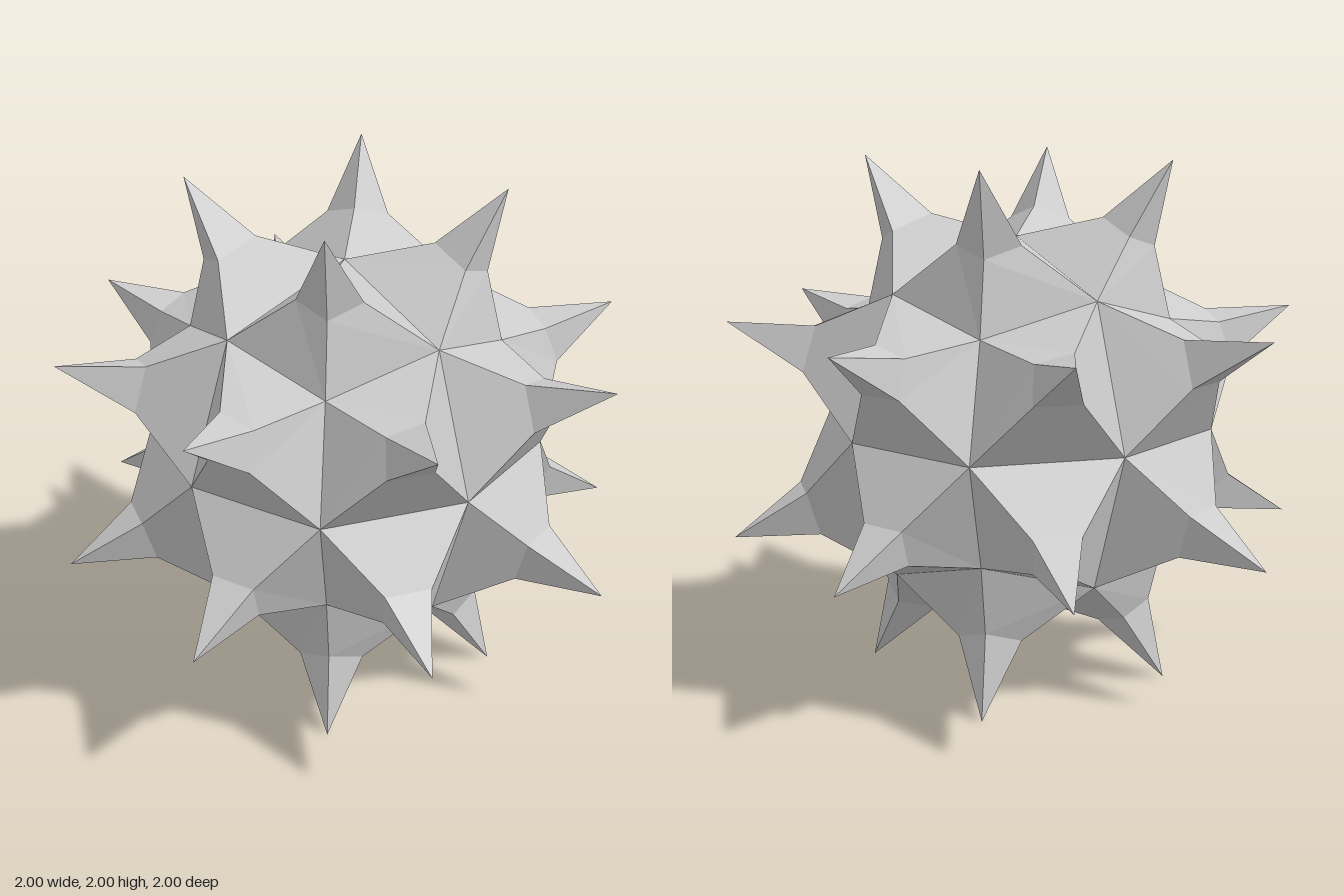
import * as THREE from 'three';

// One kite-shaped cell around the tip nearest +z: outer corners, shoulder ring, tip
const RIM = [[0, 0, 0.707], [0.53, 0, 0.53], [0.414, 0.414, 0.414], [0, 0.53, 0.53]];
const SHOULDER = [[0.232, 0.232, 0.785], [0.4, 0.232, 0.728], [0.37, 0.37, 0.685], [0.232, 0.4, 0.728]];
const TIP = [0.414, 0.414, 1];

// Repeats a set of triangles over the 24 cells: three axes, eight sign combinations
function repeatCells(triangles) {
  const positions = [];
  for (let axis = 0; axis < 3; axis++) {
    for (const sx of [1, -1]) for (const sy of [1, -1]) for (const sz of [1, -1]) {
      for (const tri of triangles) {
        // mirrored cells need their corner order reversed
        const corners = sx * sy * sz > 0 ? tri : [...tri].reverse();
        for (const [x, y, z] of corners) {
          const p = [x * sx, y * sy, z * sz];
          positions.push(p[axis], p[(axis + 1) % 3], p[(axis + 2) % 3]);
        }
      }
    }
  }
  const geometry = new THREE.BufferGeometry();
  geometry.setAttribute('position', new THREE.Float32BufferAttribute(positions, 3));
  geometry.computeVertexNormals();
  return geometry;
}

export function createModel() {
  const group = new THREE.Group();
  group.name = 'spikedStar';
  const material = new THREE.MeshStandardMaterial({ color: 0xcccccc, flatShading: true });

  const bodyTriangles = [];
  const spikeTriangles = [];
  for (let i = 0; i < 4; i++) {
    const j = (i + 1) % 4;
    bodyTriangles.push([RIM[i], RIM[j], SHOULDER[j]], [RIM[i], SHOULDER[j], SHOULDER[i]]);
    spikeTriangles.push([SHOULDER[i], SHOULDER[j], TIP]);
  }

  // Flared bases form the closed body, slim pyramids the spikes
  for (const [name, triangles] of [['starBody', bodyTriangles], ['spikes', spikeTriangles]]) {
    const mesh = new THREE.Mesh(repeatCells(triangles), material);
    mesh.name = name;
    mesh.position.y = 1;
    group.add(mesh);
  }
  return group;
}
